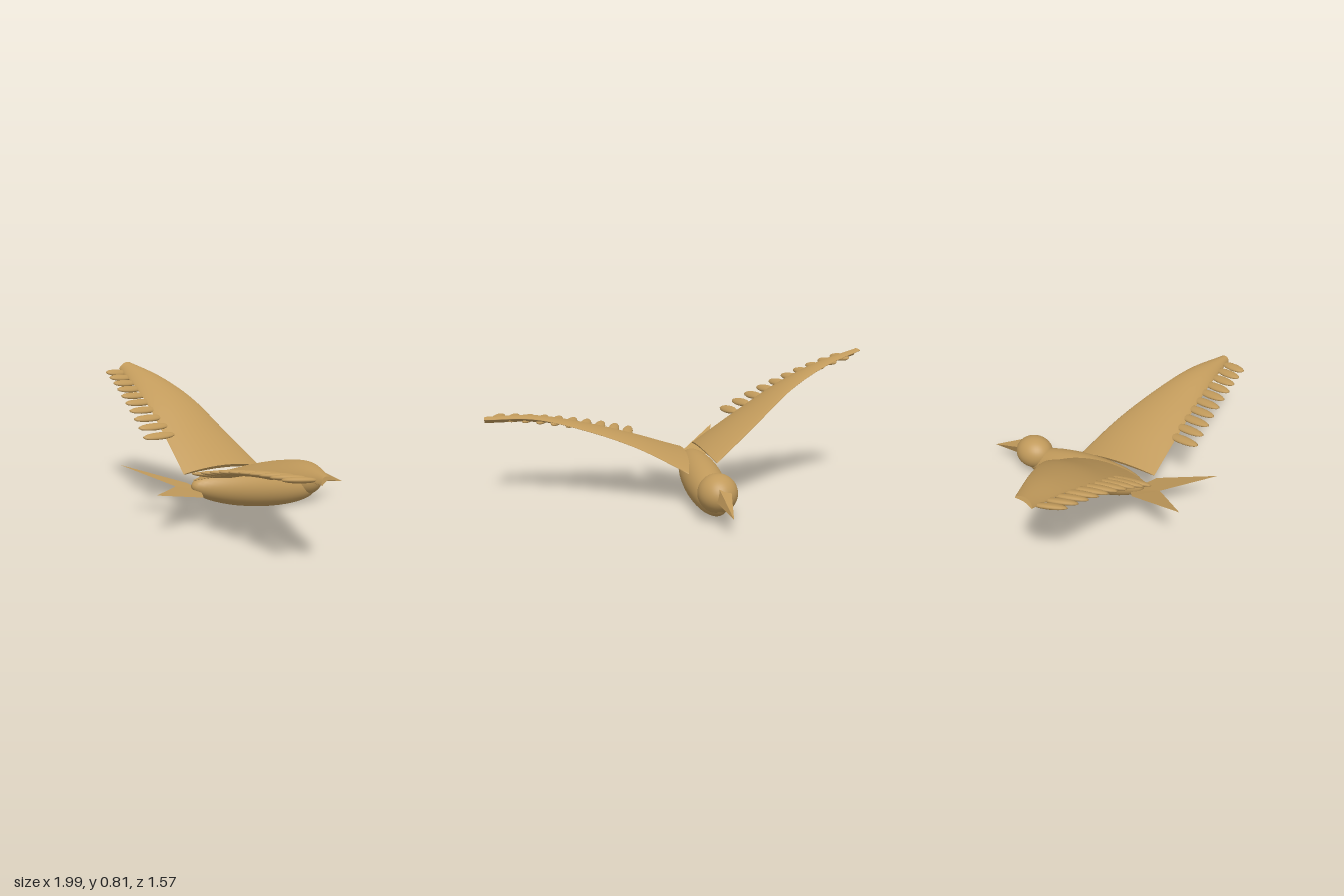
import * as THREE from 'three';

const V = (x, y, z) => new THREE.Vector3(x, y, z);
const plumage = new THREE.MeshStandardMaterial({ color: 0xc19a5b, side: THREE.DoubleSide });
plumage.name = 'tan plumage';

function add(parent, name, geometry) {
  const mesh = new THREE.Mesh(geometry, plumage);
  mesh.name = name;
  parent.add(mesh);
  return mesh;
}

// Ellipsoid whose local z points along dir and local x roughly along side
function ellipsoid(parent, name, center, radii, dir, side, detail = 32) {
  const mesh = add(parent, name, new THREE.SphereGeometry(1, detail, detail / 2));
  const z = dir.clone().normalize();
  const y = z.clone().cross(side).normalize();
  const x = y.clone().cross(z);
  mesh.quaternion.setFromRotationMatrix(new THREE.Matrix4().makeBasis(x, y, z));
  mesh.scale.set(...radii);
  mesh.position.copy(center);
  return mesh;
}

// Edge curve: straight in plan from a to b, with evenly spaced heights
function edge(a, b, heights) {
  return new THREE.CatmullRomCurve3(heights.map((y, i) => {
    const t = i / (heights.length - 1);
    return V(a[0] + (b[0] - a[0]) * t, y, a[1] + (b[1] - a[1]) * t);
  }));
}

// Cambered wing lofted between a leading and a trailing edge
function wingGeometry(lead, trail) {
  const spans = 28, ring = 28, pos = [], idx = [];
  for (let i = 0; i <= spans; i++) {
    const t = i / spans;
    const le = lead.getPoint(t);
    const chord = trail.getPoint(t).sub(le);
    const span = lead.getPoint(Math.min(1, t + 0.02)).sub(lead.getPoint(Math.max(0, t - 0.02)));
    const up = span.cross(chord).normalize();
    if (up.y < 0) up.negate();
    const camber = 0.012 + 0.05 * chord.length();
    for (let j = 0; j <= ring; j++) {
      const a = (j / ring) * Math.PI * 2;
      const s = 0.5 + 0.5 * Math.cos(a);
      const h = camber * 4 * s * (1 - s) + 0.011 * Math.sin(a);
      const p = le.clone().addScaledVector(chord, s).addScaledVector(up, h);
      pos.push(p.x, p.y, p.z);
    }
  }
  const w = ring + 1;
  for (let i = 0; i < spans; i++) {
    for (let j = 0; j < ring; j++) {
      const a = i * w + j;
      idx.push(a, a + w, a + 1, a + 1, a + w, a + w + 1);
    }
  }
  // End caps: strips joining the upper and lower halves
  for (const row of [0, spans]) {
    const base = pos.length / 3;
    for (let j = 0; j < w; j++) pos.push(...pos.slice((row * w + j) * 3, (row * w + j) * 3 + 3));
    for (let j = 0; j < ring / 2; j++) {
      const a = base + j, b = base + j + 1, c = base + ring - j, d = base + ring - j - 1;
      if (row) idx.push(a, c, b, b, c, d);
      else idx.push(a, b, c, b, d, c);
    }
  }
  const g = new THREE.BufferGeometry();
  g.setAttribute('position', new THREE.Float32BufferAttribute(pos, 3));
  g.setIndex(idx);
  g.computeVertexNormals();
  return g;
}

function buildWing(name, lead, trail, centers, dirs, lengths) {
  const wing = new THREE.Group();
  wing.name = name;
  add(wing, 'wingSurface', wingGeometry(lead, trail));
  // Row of ten flight feathers behind the trailing edge
  const path = new THREE.QuadraticBezierCurve3(...centers);
  const side = trail.getPoint(1).sub(trail.getPoint(0.3)).normalize();
  for (let i = 0; i < 10; i++) {
    const t = i / 9;
    const dir = dirs[0].clone().lerp(dirs[1], t);
    const half = THREE.MathUtils.lerp(lengths[0], lengths[1], t) / 2;
    ellipsoid(wing, 'flightFeather', path.getPoint(t), [0.032, 0.015, half], dir, side, 16);
  }
  return wing;
}

export function createModel() {
  const bird = new THREE.Group();
  bird.name = 'flyingBird';
  const forward = V(0.46, -0.13, -0.87).normalize();
  const side = V(0.87, -0.25, 0.46);

  // Body and head
  ellipsoid(bird, 'body', V(0.113, 0.129, -0.2), [0.11, 0.112, 0.43], forward, side, 48);
  ellipsoid(bird, 'head', V(0.275, 0.145, -0.513), [0.104, 0.1, 0.118], forward, side, 40);

  // Beak: four-sided cone, from inside the head to its tip
  const beakBase = V(0.305, 0.153, -0.585), beakTip = V(0.406, 0.09, -0.785);
  const axis = beakTip.clone().sub(beakBase);
  const cone = new THREE.ConeGeometry(0.05, axis.length(), 4).toNonIndexed();
  cone.computeVertexNormals();
  const beak = add(bird, 'beak', cone);
  beak.quaternion.setFromUnitVectors(V(0, 1, 0), axis.normalize());
  beak.position.copy(beakBase).add(beakTip).multiplyScalar(0.5);

  // Wings
  bird.add(buildWing('rightWing',
    edge([0.09, -0.295], [-0.96, -0.393], [0.235, 0.42, 0.605, 0.725, 0.8]),
    edge([-0.13, 0.19], [-0.995, -0.31], [0.25, 0.42, 0.575, 0.69, 0.765]),
    [V(-0.355, 0.44, 0.115), V(-0.655, 0.64, -0.055), V(-0.955, 0.75, -0.235)],
    [V(-0.06, 0, 0.19), V(-0.03, 0.01, 0.17)], [0.23, 0.175]));
  bird.add(buildWing('leftWing',
    edge([0.22, -0.22], [0.995, 0.645], [0.18, 0.315, 0.405, 0.46, 0.45]),
    edge([-0.04, 0.235], [0.97, 0.693], [0.235, 0.31, 0.375, 0.42, 0.425]),
    [V(0.205, 0.325, 0.39), V(0.54, 0.425, 0.55), V(0.87, 0.442, 0.717)],
    [V(-0.16, 0.03, 0.185), V(-0.12, 0.01, 0.13)], [0.25, 0.175]));

  // Forked tail: flat swallow-tail panel
  const tail = new THREE.BufferGeometry().setFromPoints([
    V(-0.13, 0.197, 0.27), V(-0.44, 0.305, 0.378), V(-0.17, 0.182, 0.11),
    V(-0.08, 0.152, 0.1), V(0.045, 0.152, 0.25), V(-0.012, 0.23, 0.603)]);
  tail.setIndex([0, 1, 2, 0, 2, 3, 0, 3, 4, 0, 4, 5].reverse());
  const flatTail = tail.toNonIndexed();
  flatTail.computeVertexNormals();
  add(bird, 'forkedTail', flatTail);

  return bird;
}
